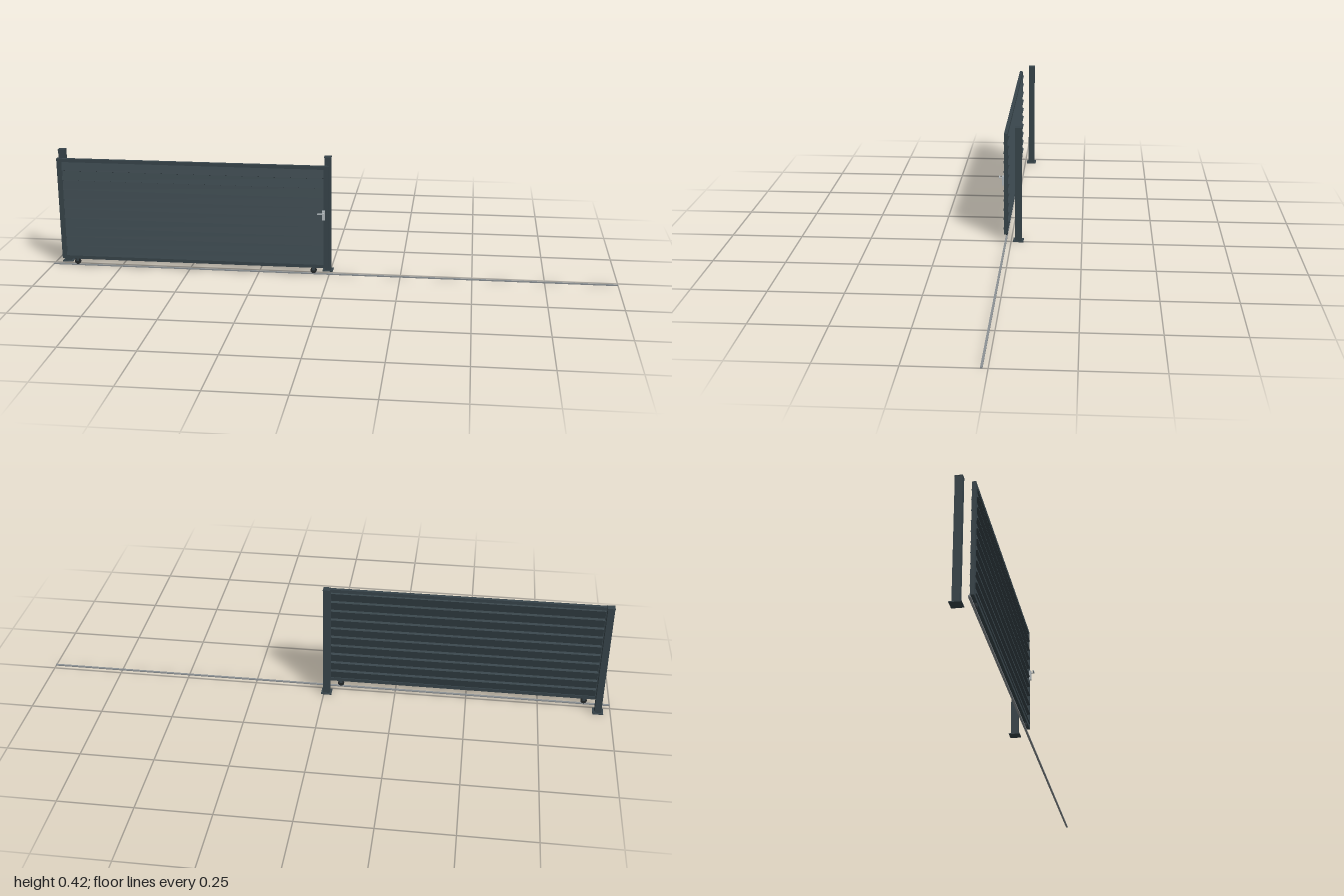
import * as THREE from 'three';

export function createModel() {
  const gate = new THREE.Group();
  gate.name = 'slidingGate';

  const material = (name, color) => {
    const m = new THREE.MeshStandardMaterial({ color });
    m.name = name;
    return m;
  };
  const anthracite = material('anthracite', 0x37444a);
  const steel = material('steel', 0x8c9194);
  const silver = material('silver', 0xb4bcc0);
  const rubber = material('darkWheel', 0x24282a);

  const add = (name, geometry, mat, x, y, z, parent = gate) => {
    const mesh = new THREE.Mesh(geometry, mat);
    mesh.name = name;
    mesh.position.set(x, y, z);
    parent.add(mesh);
    return mesh;
  };
  const box = (name, w, h, d, mat, x, y, z, parent) =>
    add(name, new THREE.BoxGeometry(w, h, d), mat, x, y, z, parent);

  const left = -0.964, right = -0.001, middle = (left + right) / 2;
  const width = right - left, panelZ = 0.019, bar = 0.012, stile = 0.018;

  // Ground track along the full sliding distance
  box('track', 2, 0.004, 0.007, steel, 0, 0.002, panelZ);

  // Sliding frame: two stiles and two rails
  const panel = new THREE.Group();
  panel.name = 'slidingPanel';
  gate.add(panel);
  for (const x of [left + stile / 2, right - stile / 2]) {
    box('stile', stile, 0.37, bar, anthracite, x, 0.21, panelZ, panel);
  }
  for (const y of [0.389, 0.031]) {
    box('rail', width - 2 * stile, bar, bar, anthracite, middle, y, panelZ, panel);
  }

  // Ten tilted louvre slats
  for (let i = 0; i < 10; i++) {
    const slat = box('slat', width - 2 * stile, 0.0335, 0.0125, anthracite,
      middle, 0.0525 + i * 0.03494, 0.018, panel);
    slat.rotation.x = -0.29;
  }

  // Wheels with axle brackets under the bottom rail
  for (const x of [-0.91, -0.055]) {
    const wheel = add('wheel', new THREE.CylinderGeometry(0.011, 0.011, 0.006, 24),
      rubber, x, 0.015, panelZ, panel);
    wheel.rotation.x = Math.PI / 2;
    box('wheelBracket', 0.01, 0.012, 0.008, anthracite, x, 0.021, panelZ, panel);
  }

  // Lock plate and lever handle
  box('lockPlate', 0.01, 0.034, 0.008, silver, -0.019, 0.22, 0.029, panel);
  const spindle = add('handleSpindle', new THREE.CylinderGeometry(0.0025, 0.0025, 0.012, 12),
    silver, -0.019, 0.229, 0.038, panel);
  spindle.rotation.x = Math.PI / 2;
  box('handleLever', 0.022, 0.004, 0.004, silver, -0.028, 0.229, 0.0425, panel);

  // Guide posts behind the panel, each with a foot plate and cap
  for (const x of [-0.957, -0.009]) {
    const post = new THREE.Group();
    post.name = 'guidePost';
    post.position.set(x, 0, -0.0255);
    gate.add(post);
    box('postShaft', 0.023, 0.412, 0.023, anthracite, 0, 0.209, 0, post);
    box('postCap', 0.025, 0.003, 0.025, anthracite, 0, 0.4165, 0, post);
    box('footPlate', 0.037, 0.003, 0.037, anthracite, 0, 0.0025, 0, post);
  }

  return gate;
}
